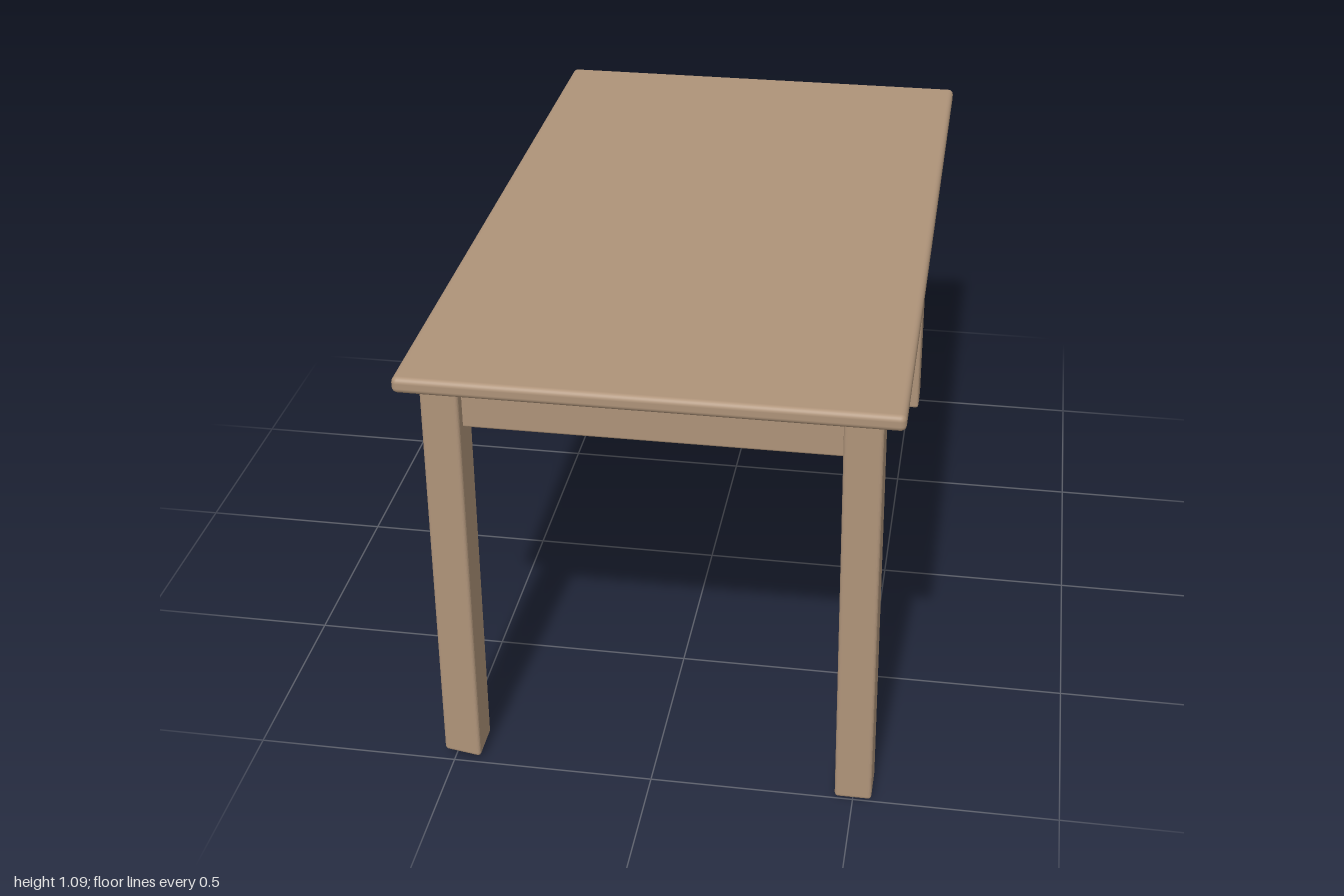
import * as THREE from 'three';
import { RoundedBoxGeometry } from 'three/addons/geometries/RoundedBoxGeometry.js';

const UNDERSIDE = 1.045; // height of the underside of the top

export function createModel() {
  const group = new THREE.Group();
  const wood = new THREE.MeshStandardMaterial({ color: 0xae9379 });
  wood.name = 'warm wood';

  function add(name, geometry, x, y, z) {
    const mesh = new THREE.Mesh(geometry, wood);
    mesh.name = name;
    mesh.position.set(x, y, z);
    group.add(mesh);
  }

  // Softly rounded bar given by its extents
  function bar(name, [x0, x1], [y0, y1], [z0, z1], radius) {
    add(name, new RoundedBoxGeometry(x1 - x0, y1 - y0, z1 - z0, 3, radius),
      (x0 + x1) / 2, (y0 + y1) / 2, (z0 + z1) / 2);
  }

  // Leg that leans slightly: top and foot are centres [x, z], tilt slopes the cut of the foot
  function leg(name, top, foot, bottom, width, depth, tilt = 0) {
    const height = UNDERSIDE + 0.01 - bottom;
    const geometry = new RoundedBoxGeometry(width, height, depth, 3, 0.009);
    const p = geometry.attributes.position;
    for (let i = 0; i < p.count; i++) {
      const t = 0.5 - p.getY(i) / height; // 0 at the top, 1 at the foot
      const x = p.getX(i);
      p.setXYZ(i,
        x + top[0] + (foot[0] - top[0]) * t,
        p.getY(i) + height / 2 + bottom + tilt * x * t,
        p.getZ(i) + top[1] + (foot[1] - top[1]) * t);
    }
    geometry.computeVertexNormals();
    add(name, geometry, 0, 0, 0);
  }

  // Table top
  bar('tableTop', [-0.583, 0.583], [UNDERSIDE, 1.085], [-1, 1], 0.014);

  // Four hand-cut legs
  leg('frontLeftLeg', [0.489, 0.932], [0.5, 0.944], 0, 0.09, 0.106);
  leg('frontRightLeg', [-0.477, 0.932], [-0.478, 0.944], 0.02, 0.09, 0.106, -0.16);
  leg('backLeftLeg', [0.485, -0.927], [0.491, -0.934], 0.035, 0.09, 0.104);
  leg('backRightLeg', [-0.485, -0.922], [-0.488, -0.928], 0.037, 0.09, 0.104);

  // Aprons between the legs, set back from their outer faces
  for (const s of [1, -1]) {
    const across = s * 0.93, along = s * 0.49;
    bar(s > 0 ? 'frontApron' : 'backApron',
      [-0.46, 0.46], [0.945, 1.05], [across - 0.025, across + 0.025], 0.006);
    bar(s > 0 ? 'leftApron' : 'rightApron',
      [along - 0.025, along + 0.025], [0.945, 1.05], [-0.91, 0.91], 0.006);
  }

  return group;
}
